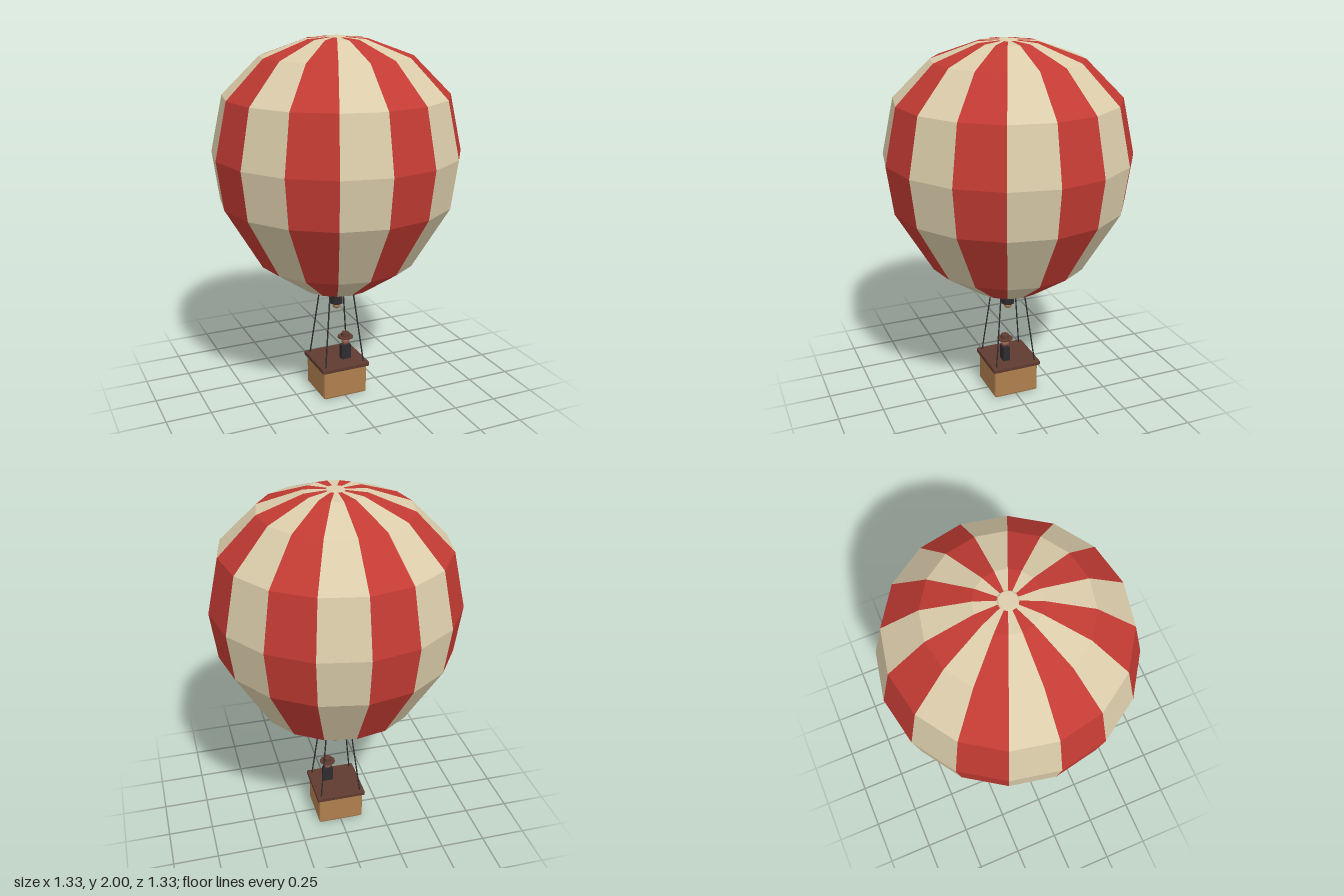
import * as THREE from 'three';
import { mergeGeometries } from 'three/addons/utils/BufferGeometryUtils.js';
import { RoundedBoxGeometry } from 'three/addons/geometries/RoundedBoxGeometry.js';

const paint = (name, color) => new THREE.MeshStandardMaterial({ name, color, flatShading: true });

export function createModel() {
  const red = paint('red cloth', 0xc23b33);
  const cream = paint('cream cloth', 0xdccdab);
  const wicker = paint('wicker', 0xb0804e);
  const brown = paint('dark brown', 0x5f3b30);
  const charcoal = paint('charcoal', 0x2e2b2e);
  const skin = paint('skin', 0x9c6353);

  const model = new THREE.Group();
  model.name = 'hotAirBalloon';
  const add = (name, geometry, material, x, y, z, parent = model) => {
    const mesh = new THREE.Mesh(geometry, material);
    mesh.name = name;
    mesh.position.set(x, y, z);
    parent.add(mesh);
    return mesh;
  };

  // Envelope: sixteen gores in alternating colours, from one profile
  const profile = [
    [0, 0.6], [0.2, 0.64], [0.43, 0.8], [0.63, 1.14],
    [0.665, 1.4], [0.6, 1.7], [0.4, 1.9], [0.16, 1.987], [0, 1.997],
  ].map(([r, y]) => new THREE.Vector2(r, y));
  const sides = 16;
  const step = (Math.PI * 2) / sides;
  const gores = [[], []];
  for (let i = 0; i < sides; i++) {
    gores[i % 2].push(new THREE.LatheGeometry(profile, 1, i * step, step));
  }
  add('redGores', mergeGeometries(gores[0]), red, 0, 0, 0);
  add('creamGores', mergeGeometries(gores[1]), cream, 0, 0, 0);
  add('crownCap', new THREE.CylinderGeometry(0.045, 0.05, 0.006, sides), cream, 0, 1.997, 0);

  // Burner hanging under the mouth
  add('burner', new THREE.CylinderGeometry(0.038, 0.038, 0.095, 8), charcoal, 0, 0.572, 0);
  add('burnerNozzle', new THREE.SphereGeometry(0.025, 8, 6), wicker, 0, 0.515, 0);

  // Four ropes from the envelope to the basket corners
  const up = new THREE.Vector3(0, 1, 0);
  for (const sx of [-1, 1]) {
    for (const sz of [-1, 1]) {
      const low = new THREE.Vector3(sx * 0.117, 0.18, sz * 0.117);
      const high = new THREE.Vector3(sx * 0.068, 0.625, sz * 0.068);
      const along = high.clone().sub(low);
      const mid = low.clone().add(high).multiplyScalar(0.5);
      const rope = add('rope', new THREE.CylinderGeometry(0.004, 0.004, along.length(), 6),
        charcoal, mid.x, mid.y, mid.z);
      rope.quaternion.setFromUnitVectors(up, along.normalize());
    }
  }

  // Basket with bevelled edges and a dark lid
  add('basket', new RoundedBoxGeometry(0.262, 0.18, 0.262, 1, 0.012), wicker, 0, 0.09, 0);
  add('basketRim', new RoundedBoxGeometry(0.284, 0.026, 0.284, 1, 0.005), brown, 0, 0.178, 0);

  // Passenger standing off centre
  const passenger = new THREE.Group();
  passenger.name = 'passenger';
  passenger.position.set(0.04, 0.19, 0.035);
  model.add(passenger);
  add('body', new THREE.BoxGeometry(0.056, 0.085, 0.038), charcoal, 0, 0.042, 0, passenger);
  add('head', new THREE.SphereGeometry(0.025, 8, 6), skin, 0, 0.109, 0, passenger);
  add('hatBrim', new THREE.CylinderGeometry(0.045, 0.045, 0.006, 10), brown, 0, 0.133, 0, passenger);
  add('hatCrown', new THREE.CylinderGeometry(0.023, 0.025, 0.026, 10), brown, 0, 0.146, 0, passenger);

  return model;
}
